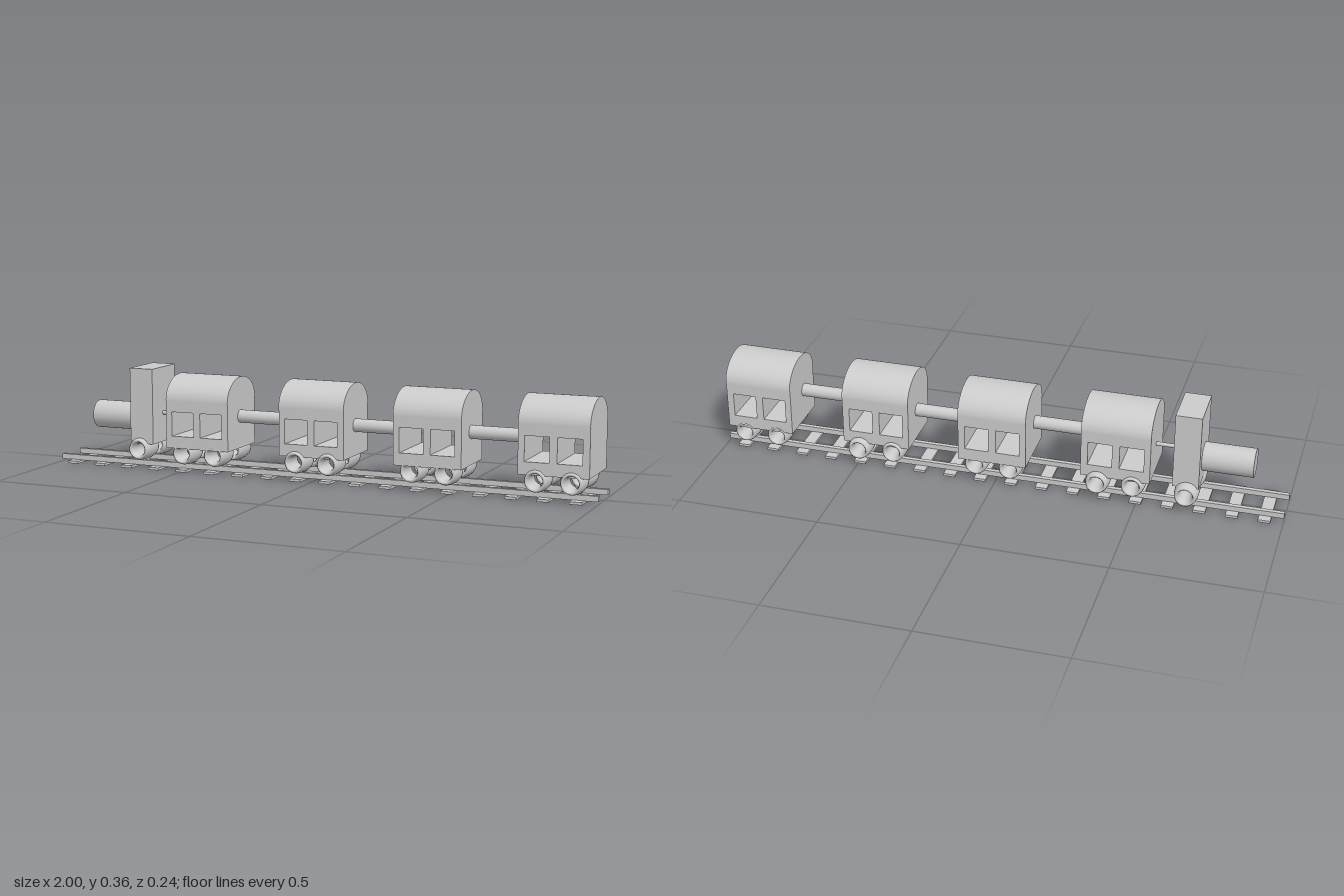
import * as THREE from 'three';

const material = new THREE.MeshStandardMaterial({ color: 0xcccccc });

function add(parent, name, geometry, x, y, z) {
  const mesh = new THREE.Mesh(geometry, material);
  mesh.name = name;
  mesh.position.set(x, y, z);
  parent.add(mesh);
  return mesh;
}

// Box given by its min and max on each axis
function box(parent, name, [x0, x1], [y0, y1], [z0, z1]) {
  return add(parent, name, new THREE.BoxGeometry(x1 - x0, y1 - y0, z1 - z0),
    (x0 + x1) / 2, (y0 + y1) / 2, (z0 + z1) / 2);
}

// Cylinder lying along x
function rod(parent, name, x0, x1, radius, y, z) {
  const geometry = new THREE.CylinderGeometry(radius, radius, x1 - x0, 32).rotateZ(Math.PI / 2);
  return add(parent, name, geometry, (x0 + x1) / 2, y, z);
}

// Wheel: a ring stretched along its axle
const wheelGeometry = new THREE.TorusGeometry(0.031, 0.0105, 16, 40).scale(1, 1, 4.75);
function wheel(parent, x, z) {
  add(parent, 'wheel', wheelGeometry, x, 0.068, z);
}

function rect(path, x0, x1, y0, y1) {
  path.moveTo(x0, y0);
  path.lineTo(x1, y0);
  path.lineTo(x1, y1);
  path.lineTo(x0, y1);
  path.closePath();
  return path;
}

const CAR_LENGTH = 0.24;

// Carriage body with two windows cut right through it
function bodyGeometry() {
  const side = rect(new THREE.Shape(), 0, CAR_LENGTH, 0.087, 0.256);
  for (const x of [0.022, 0.132]) {
    side.holes.push(rect(new THREE.Path(), x, x + 0.084, 0.13, 0.216));
  }
  return new THREE.ExtrudeGeometry(side, { depth: 0.219, bevelEnabled: false });
}

// Half-elliptical roof running along x
function roofGeometry() {
  const arch = new THREE.Shape();
  arch.moveTo(0.112, 0);
  arch.absellipse(0, 0, 0.112, 0.085, 0, Math.PI, false, 0);
  arch.closePath();
  return new THREE.ExtrudeGeometry(arch, { depth: CAR_LENGTH, bevelEnabled: false, curveSegments: 32 })
    .rotateY(Math.PI / 2);
}

// Smooth the curved roof surface using the ellipse normal, leaving flat faces alone
function smoothArch(geometry) {
  const p = geometry.attributes.position, n = geometry.attributes.normal;
  const v = new THREE.Vector3();
  for (let i = 0; i < p.count; i++) {
    if (Math.abs(n.getX(i)) > 0.5 || n.getY(i) < -0.5) continue;
    v.set(0, p.getY(i) / 0.085 ** 2, p.getZ(i) / 0.112 ** 2).normalize();
    n.setXYZ(i, v.x, v.y, v.z);
  }
  return geometry;
}

export function createModel() {
  const model = new THREE.Group();

  // Track: two rails on evenly spaced sleepers
  const track = new THREE.Group();
  track.name = 'track';
  model.add(track);
  for (const z of [0.066, -0.057]) {
    box(track, 'rail', [-1, 1], [0.008, 0.027], [z - 0.008, z + 0.008]);
  }
  for (let i = 0; i < 18; i++) {
    const x = -0.937 + i * 0.11;
    box(track, 'sleeper', [x - 0.021, x + 0.021], [0, 0.009], [-0.096, 0.107]);
  }

  // Engine: tall cab, round boiler and one pair of wheels
  const engine = new THREE.Group();
  engine.name = 'engine';
  model.add(engine);
  box(engine, 'cab', [-0.71, -0.62], [0.087, 0.357], [-0.088, 0.081]);
  rod(engine, 'boiler', -0.885, -0.70, 0.05, 0.172, -0.006);
  wheel(engine, -0.674, 0.05);
  wheel(engine, -0.67, -0.073);

  // Carriages
  const body = bodyGeometry();
  const roof = smoothArch(roofGeometry());
  const cars = [
    { x: -0.545, z: 0.01 },
    { x: -0.115, z: -0.001 },
    { x: 0.308, z: 0.01 },
    { x: 0.738, z: 0.002 },
  ];
  for (const { x, z } of cars) {
    const car = new THREE.Group();
    car.name = 'carriage';
    car.position.x = x;
    model.add(car);
    add(car, 'body', body, 0, 0, z - 0.109);
    add(car, 'roof', roof, 0, 0.255, z);
    for (const wx of [0.06, 0.181]) {
      wheel(car, wx, 0.072);
      wheel(car, wx, z > 0.005 && wx > 0.1 ? -0.072 : -0.06);
    }
  }

  // Couplings between the vehicles
  rod(model, 'coupling', -0.63, -0.535, 0.007, 0.191, 0);
  rod(model, 'coupling', -0.315, -0.105, 0.023, 0.2, 0.017);
  rod(model, 'coupling', 0.115, 0.318, 0.023, 0.193, 0.002);
  rod(model, 'coupling', 0.538, 0.748, 0.023, 0.2, 0.02);

  return model;
}
